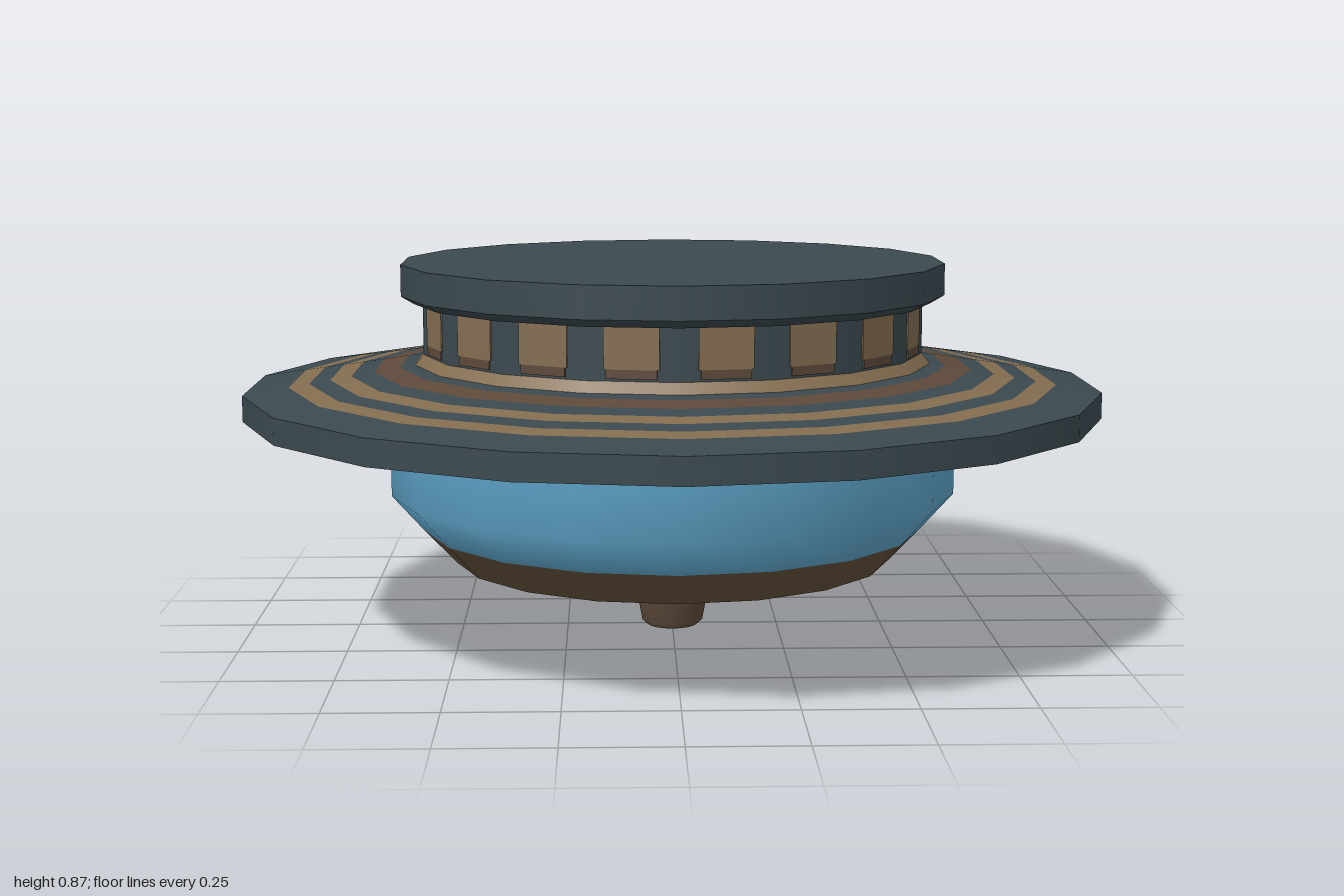
import * as THREE from 'three';

const SIDES = 18;
const STEP = (Math.PI * 2) / SIDES;
const APOTHEM = Math.cos(STEP / 2);

function mat(name, color) {
  const m = new THREE.MeshStandardMaterial({ color });
  m.name = name;
  return m;
}

export function createModel() {
  const slate = mat('dark slate', 0x3b494f);
  const tan = mat('tan', 0x846d50);
  const brown = mat('brown', 0x5d493a);
  const ochre = mat('hull brown', 0x64503a);
  const umber = mat('dark umber', 0x453829);
  const blue = mat('sky blue', 0x5ea5ca);

  const model = new THREE.Group();
  model.name = 'spinningDisc';

  // One turned band; profile points are [radius, height], listed bottom to top round the outside
  function band(name, material, ...profile) {
    const points = profile.map(([r, y]) => new THREE.Vector2(r, y));
    const mesh = new THREE.Mesh(new THREE.LatheGeometry(points, SIDES), material);
    mesh.name = name;
    model.add(mesh);
  }

  // Tip
  band('tipBottom', brown, [0, 0], [0.06, 0]);
  band('tipSide', brown, [0.06, 0], [0.073, 0.012], [0.087, 0.088]);

  // Hull
  const hullY = (r) => 0.085 + 0.198 * (r - 0.085);
  band('hullBase', blue, [0.08, hullY(0.08)], [0.3, hullY(0.3)]);
  band('hullDotRing', umber, [0.3, hullY(0.3)], [0.515, 0.17]);
  band('hullLowerBand', ochre, [0.515, 0.17], [0.59, 0.25]);
  band('hullWall', blue, [0.59, 0.25], [0.665, 0.335], [0.665, 0.505]);
  band('hullTrim', slate, [0.665, 0.505], [0.665, 0.52]);

  // Brim underside and rim
  band('brimUnderInner', slate, [0.6, 0.52], [0.76, 0.52]);
  band('brimUnderRing', ochre, [0.76, 0.52], [0.82, 0.52]);
  band('brimUnderOuter', slate, [0.82, 0.52], [1, 0.52]);
  band('brimRim', slate, [1, 0.52], [1, 0.58]);

  // Brim top with painted rings, from the rim inwards
  const brimY = (r) => 0.58 + (1 - r) * 0.155;
  const rings = [
    [1, 0.895, slate], [0.895, 0.848, tan], [0.848, 0.8, slate], [0.8, 0.752, tan],
    [0.752, 0.7, slate], [0.7, 0.64, brown], [0.64, 0.605, slate],
  ];
  rings.forEach(([outer, inner, material], i) =>
    band(`brimTop${i + 1}`, material, [outer, brimY(outer)], [inner, brimY(inner)]));

  // Neck and cap
  band('neckFoot', tan, [0.605, brimY(0.605)], [0.585, 0.665]);
  band('neck', slate, [0.585, 0.665], [0.585, 0.782]);
  band('capUnderside', slate, [0.585, 0.782], [0.605, 0.782], [0.635, 0.8]);
  band('capSide', slate, [0.635, 0.8], [0.635, 0.873]);
  band('capTop', slate, [0.635, 0.873], [0, 0.873]);

  // Painted plate lying on one side of the turned body
  function plate(parent, name, material, w, h, x, y, radius) {
    const mesh = new THREE.Mesh(new THREE.BoxGeometry(w, h, 0.006), material);
    mesh.name = name;
    mesh.position.set(x, y, radius * APOTHEM);
    parent.add(mesh);
  }

  // Neck windows and hull dots, one of each per side
  const dotGeometry = new THREE.CircleGeometry(1, 10);
  for (let i = 0; i < SIDES; i++) {
    const side = new THREE.Group();
    side.name = 'sideMarkings';
    side.rotation.y = (i + 0.5) * STEP;
    plate(side, 'neckWindow', tan, 0.12, 0.09, 0, 0.735, 0.585);
    plate(side, 'neckWindowSill', brown, 0.11, 0.02, 0, 0.68, 0.585);

    const dot = new THREE.Mesh(dotGeometry, ochre);
    dot.name = 'hullDot';
    dot.scale.set(0.044, 0.033, 1);
    dot.rotation.x = Math.atan2(1, 0.198);
    dot.position.set(0, hullY(0.42) - 0.004, 0.42 * APOTHEM);
    side.add(dot);
    model.add(side);
  }

  // Single marker on the cap edge
  const marker = new THREE.Group();
  marker.name = 'capMarker';
  marker.rotation.y = 6.5 * STEP;
  plate(marker, 'capMarkerPlate', tan, 0.068, 0.07, 0.066, 0.836, 0.635);
  model.add(marker);

  return model;
}
